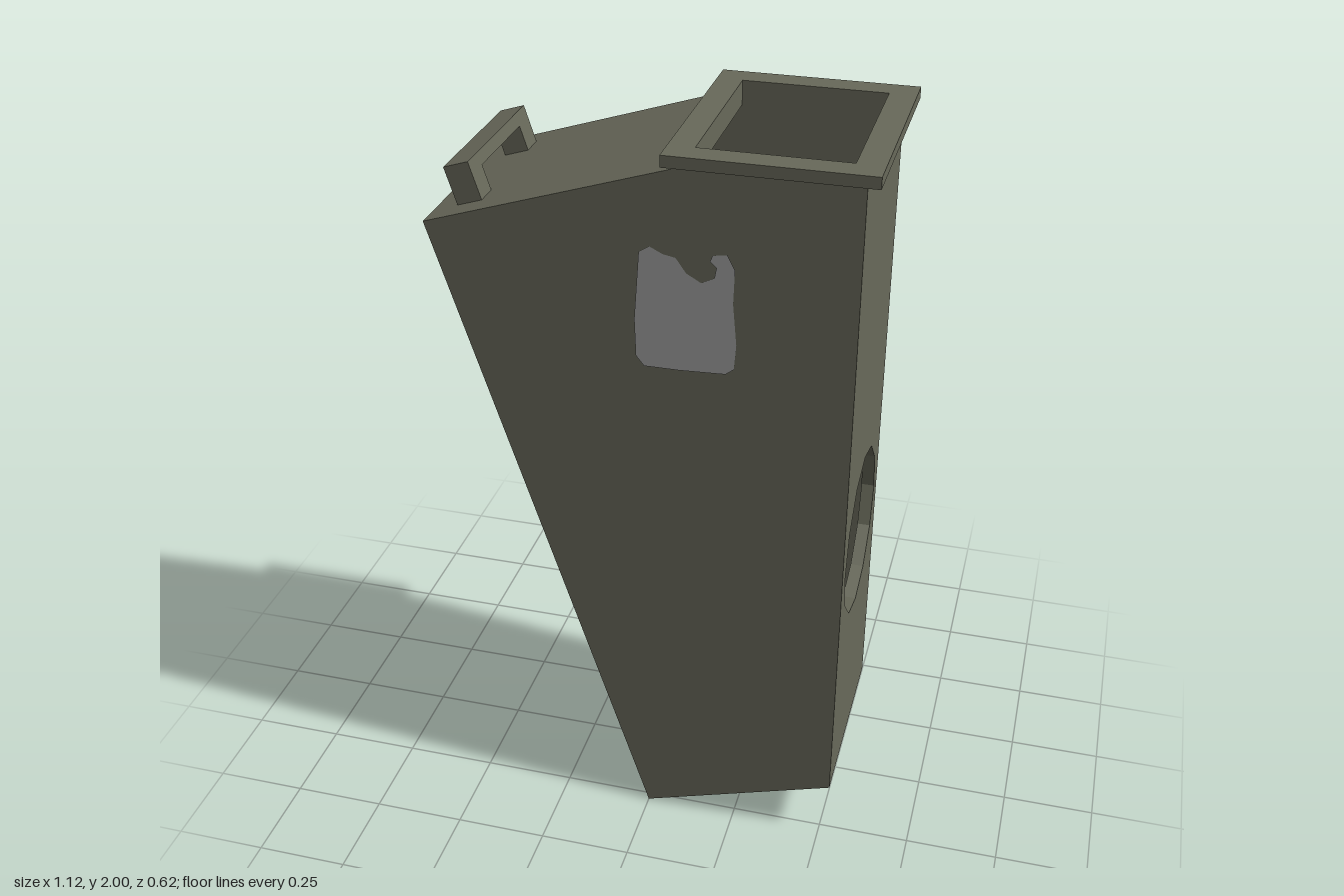
import * as THREE from 'three';

const bodyPaint = new THREE.MeshStandardMaterial({ color: 0x68695a });
bodyPaint.name = 'olivePaint';
const wornPaint = new THREE.MeshStandardMaterial({ color: 0xa0a0a0 });
wornPaint.name = 'fadedGrey';

const shapeOf = (pts) => new THREE.Shape(pts.map(([x, y]) => new THREE.Vector2(x, y)));

// Straight extrusion along z, starting at z0
function slab(shape, z0, depth) {
  return new THREE.ExtrudeGeometry(shape, { depth, bevelEnabled: false }).translate(0, 0, z0);
}

function rectPath(x0, x1, y0, y1) {
  return shapeOf([[x0, y0], [x1, y0], [x1, y1], [x0, y1]]);
}

export function createModel() {
  const model = new THREE.Group();
  const add = (name, geometry, parent = model, material = bodyPaint) => {
    const mesh = new THREE.Mesh(geometry, material);
    mesh.name = name;
    parent.add(mesh);
    return mesh;
  };

  const half = 0.275, inner = 0.24, wall = half - inner;
  const tilt = 0.309, slope = Math.tan(tilt);

  // Two large side panels
  const panel = shapeOf([[0, 0], [0.525, 0.168], [0.525, 1.972], [0.083, 1.972], [0.083, 1.96], [-0.56, 1.755]]);
  add('frontPanel', slab(panel, inner, wall));
  add('backPanel', slab(panel, -half, wall));

  // Sloping wall, roof and short neck as one bent strip
  const strip = shapeOf([
    [0, 0], [0.034, 0.011], [-0.517, 1.733], [0.117, 1.935],
    [0.117, 1.972], [0.083, 1.972], [0.083, 1.96], [-0.56, 1.755],
  ]);
  add('slopingWallAndRoof', slab(strip, -inner, 2 * inner));

  // Upright wall with a twelve-sided port; lower edge follows the slanted mouth
  const upright = rectPath(-inner, inner, 0.168, 1.972);
  const port = [];
  for (let i = 0; i < 12; i++) {
    const a = (i / 12) * Math.PI * 2;
    port.push(new THREE.Vector2(0.23 * Math.cos(a), 0.858 + 0.23 * Math.sin(a)));
  }
  upright.holes.push(new THREE.Path(port));
  const uprightGeo = slab(upright, 0, wall).rotateY(Math.PI / 2).translate(0.525 - wall, 0, 0);
  const pos = uprightGeo.attributes.position;
  for (let i = 0; i < pos.count; i++) {
    if (pos.getY(i) < 0.2) pos.setY(i, 0.168 + slope * (pos.getX(i) - 0.525));
  }
  uprightGeo.computeVertexNormals();
  add('uprightWall', uprightGeo);

  // Flange around the upper opening
  const flange = rectPath(0.05, 0.56, -0.308, 0.308);
  flange.holes.push(rectPath(0.117, 0.49, -inner, inner));
  add('topFlange', slab(flange, 0, 0.03).rotateX(-Math.PI / 2).translate(0, 1.97, 0));

  // Carry handle standing square to the roof
  const handle = new THREE.Group();
  handle.name = 'handle';
  handle.position.set(-0.4625, 1.785, 0);
  handle.rotation.z = tilt;
  model.add(handle);
  const arch = shapeOf([
    [-0.205, -0.005], [-0.138, -0.005], [-0.138, 0.068], [0.138, 0.068],
    [0.138, -0.005], [0.205, -0.005], [0.205, 0.102], [-0.205, 0.102],
  ]);
  add('handleBar', slab(arch, -0.034, 0.068).rotateY(Math.PI / 2), handle);

  // Worn patch with a torn upper edge on the front
  const torn = shapeOf([
    [0, 1.434], [-0.021, 1.46], [-0.024, 1.56], [-0.011, 1.74], [0.016, 1.757], [0.048, 1.741],
    [0.08, 1.735], [0.106, 1.698], [0.143, 1.677], [0.175, 1.693], [0.18, 1.72], [0.164, 1.735],
    [0.17, 1.751], [0.206, 1.757], [0.225, 1.72], [0.222, 1.63], [0.232, 1.52], [0.227, 1.455],
    [0.206, 1.439], [0.09, 1.434],
  ]);
  add('frontWornPatch', new THREE.ShapeGeometry(torn).translate(0, 0, half + 0.003), model, wornPaint);

  // Worn patch with small chips, drawn in a unit square
  const chipped = shapeOf([
    [-0.48, -0.5], [-0.5, 0.1], [-0.48, 0.49], [-0.2, 0.5], [0, 0.47],
    [0.2, 0.48], [0.49, 0.47], [0.5, 0], [0.48, -0.49], [0, -0.48],
  ]);
  for (const [x, y, rx, ry] of [[0.25, 0.27, 0.09, 0.028], [0.1, 0.39, 0.06, 0.02], [0.32, 0.4, 0.04, 0.015]]) {
    chipped.holes.push(new THREE.Path().absellipse(x, y, rx, ry, 0, Math.PI * 2, true));
  }
  const chippedGeo = new THREE.ShapeGeometry(chipped, 4);

  const backPatch = add('backWornPatch', chippedGeo, model, wornPaint);
  backPatch.scale.set(0.255, 0.36, 1);
  backPatch.rotation.y = Math.PI;
  backPatch.position.set(0.098, 1.62, -half - 0.003);

  const lowPatch = add('slopingWallWornPatch', chippedGeo, model, wornPaint);
  lowPatch.scale.set(0.24, 0.27, 1);
  lowPatch.quaternion.setFromRotationMatrix(new THREE.Matrix4().makeBasis(
    new THREE.Vector3(0, 0, 1),
    new THREE.Vector3(-0.304, 0.953, 0),
    new THREE.Vector3(-0.953, -0.304, 0),
  ));
  lowPatch.position.set(-0.197, 0.604, -0.015);

  return model;
}
